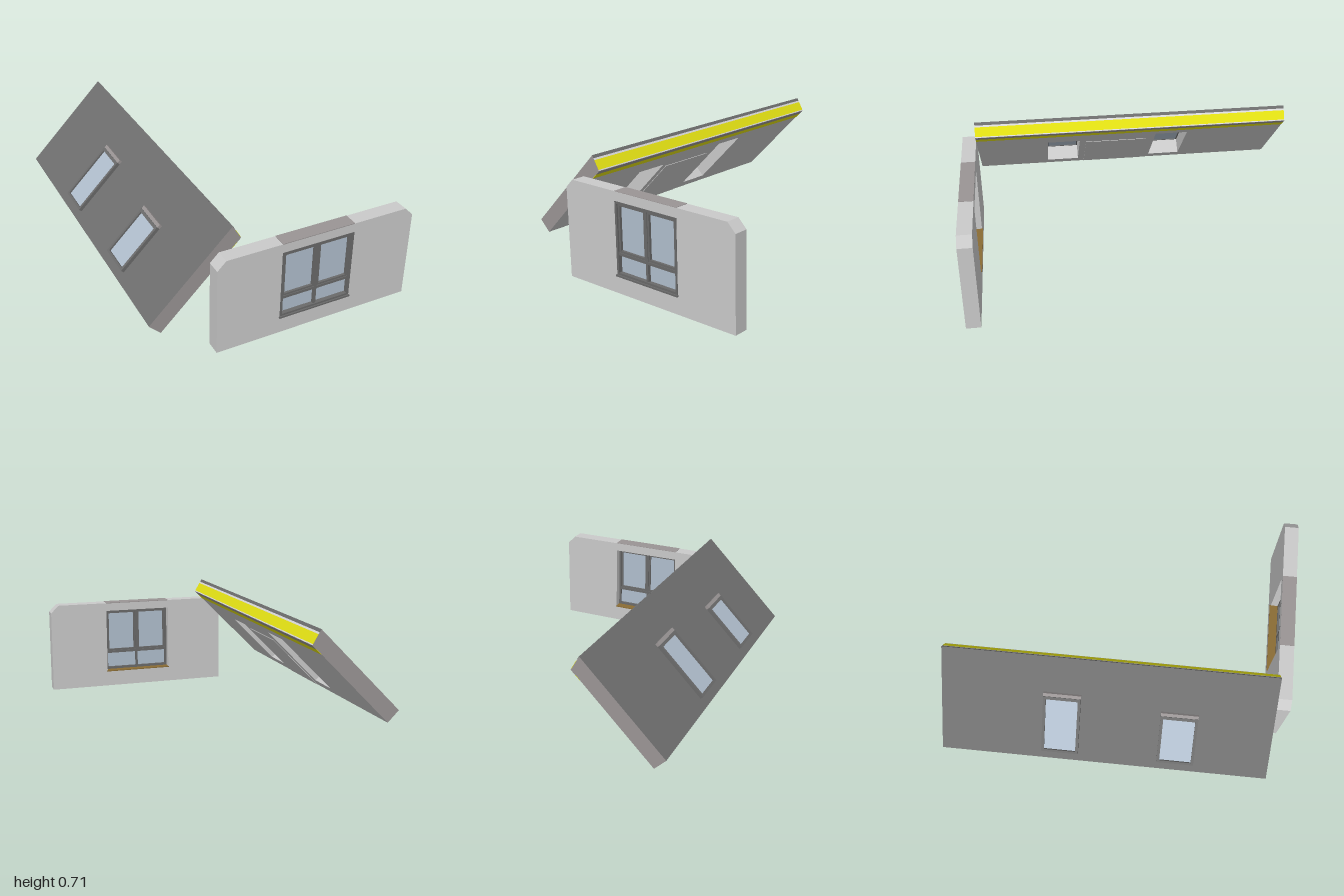
import * as THREE from 'three';

const mat = (name, hex, extra = {}) => {
  const m = new THREE.MeshStandardMaterial({ color: hex, ...extra });
  m.name = name;
  return m;
};

export function createModel() {
  const wallGrey = mat('wall grey', 0xcacaca);
  const coreGrey = mat('core grey', 0x9a9595);
  const roofGrey = mat('roof grey', 0x6f6f6f);
  const frameGrey = mat('frame grey', 0x6a6a6a);
  const glass = mat('glass blue', 0xb0becd);
  const yellow = mat('membrane yellow', 0xe6e414);
  const white = mat('seal white', 0xdedede);
  const brown = mat('sill brown', 0x8a6c34);

  const model = new THREE.Group();

  // box given by its limits on each axis
  const box = (parent, name, m, x0, x1, y0, y1, z0, z1) => {
    const mesh = new THREE.Mesh(new THREE.BoxGeometry(x1 - x0, y1 - y0, z1 - z0), m);
    mesh.position.set((x0 + x1) / 2, (y0 + y1) / 2, (z0 + z1) / 2);
    mesh.name = name;
    parent.add(mesh);
    return mesh;
  };

  // rectangular ring of four bars in the xy plane
  const ring = (parent, name, m, x0, x1, y0, y1, z0, z1, w) => {
    box(parent, name, m, x0, x0 + w, y0, y1, z0, z1);
    box(parent, name, m, x1 - w, x1, y0, y1, z0, z1);
    box(parent, name, m, x0 + w, x1 - w, y0, y0 + w, z0, z1);
    box(parent, name, m, x0 + w, x1 - w, y1 - w, y1, z0, z1);
  };

  // convex prism along z, one material per side and per cap (front, back)
  const prism = (parent, name, poly, z0, z1, sideMats, capMats) => {
    const pos = [], geo = new THREE.BufferGeometry(), mats = [...sideMats, ...capMats];
    const face = (pts, index) => {
      const start = pos.length / 3;
      for (let i = 1; i < pts.length - 1; i++) pos.push(...pts[0], ...pts[i], ...pts[i + 1]);
      geo.addGroup(start, pos.length / 3 - start, index);
    };
    poly.forEach((a, i) => {
      const b = poly[(i + 1) % poly.length];
      face([[...a, z1], [...a, z0], [...b, z0], [...b, z1]], i);
    });
    face(poly.map(p => [...p, z1]), poly.length);
    face([...poly].reverse().map(p => [...p, z0]), poly.length + 1);
    geo.setAttribute('position', new THREE.Float32BufferAttribute(pos, 3));
    geo.computeVertexNormals();
    const mesh = new THREE.Mesh(geo, mats);
    mesh.name = name;
    parent.add(mesh);
  };

  // gable wall with chamfered corners and a window opening
  const wall = new THREE.Group();
  wall.name = 'gableWall';
  model.add(wall);
  const pts = list => list.map(p => new THREE.Vector2(...p));
  const outline = new THREE.Shape(pts([[-0.424, 0], [0.76, 0], [0.76, 0.525], [0.71, 0.575], [-0.374, 0.575], [-0.424, 0.525]]));
  outline.holes.push(new THREE.Path(pts([[-0.05, 0.1], [-0.05, 0.522], [0.385, 0.522], [0.385, 0.1]])));
  const panel = new THREE.Mesh(new THREE.ExtrudeGeometry(outline, { depth: 0.083, bevelEnabled: false }), wallGrey);
  panel.position.z = 0.907;
  panel.name = 'wallPanel';
  wall.add(panel);
  box(wall, 'lintelTop', coreGrey, -0.05, 0.385, 0.573, 0.577, 0.907, 0.99);

  // window: outer frame, mullion, transom, sashes, panes and sills
  const win = new THREE.Group();
  win.name = 'window';
  wall.add(win);
  ring(win, 'outerFrame', frameGrey, -0.05, 0.385, 0.108, 0.522, 0.95, 0.992, 0.014);
  box(win, 'mullion', frameGrey, 0.16, 0.175, 0.12, 0.51, 0.95, 0.986);
  box(win, 'transom', frameGrey, -0.038, 0.373, 0.219, 0.235, 0.95, 0.986);
  for (const [x0, x1] of [[-0.036, 0.16], [0.175, 0.371]]) {
    ring(win, 'sash', frameGrey, x0, x1, 0.235, 0.508, 0.955, 0.982, 0.012);
  }
  box(win, 'panes', glass, -0.04, 0.375, 0.115, 0.515, 0.962, 0.968);
  box(win, 'outerSill', frameGrey, -0.054, 0.389, 0.1, 0.11, 0.95, 1.0);
  box(win, 'innerSill', brown, -0.054, 0.389, 0.1, 0.106, 0.9, 0.952);

  // roof slab, built flat and then tilted: x runs up the slope, y is its normal
  const roof = new THREE.Group();
  roof.name = 'roofSlab';
  roof.position.set(-0.765, 0.24, 0);
  roof.rotation.z = Math.PI / 4;
  model.add(roof);
  const low = -0.09, topEnd = 0.661, bottomEnd = 0.638, zBack = -1, zFront = 0.907;

  // skylight openings: z limits and upper edge of the hole at the outer face
  const skylights = [[-0.405, -0.205, 0.425], [0.27, 0.47, 0.368]];
  const start = 0.062, splay = 0.085;

  // full-length strips beside the openings
  const edges = [zBack, ...skylights.flatMap(s => [s[0], s[1]]), zFront];
  for (let i = 0; i < edges.length; i += 2) {
    prism(roof, 'roofStrip', [[0, low], [bottomEnd, low], [topEnd, 0], [0, 0]], edges[i], edges[i + 1],
      [wallGrey, coreGrey, roofGrey, roofGrey],
      [i === 4 ? coreGrey : wallGrey, i === 0 ? coreGrey : wallGrey]);
  }

  for (const [z0, z1, end] of skylights) {
    // slab below and above the opening; the upper reveal is splayed
    prism(roof, 'lowerInfill', [[0, low], [start, low], [start, 0], [0, 0]], z0, z1,
      [wallGrey, wallGrey, roofGrey, roofGrey], [coreGrey, coreGrey]);
    prism(roof, 'upperInfill', [[end + splay, low], [bottomEnd, low], [topEnd, 0], [end, 0]], z0, z1,
      [wallGrey, coreGrey, roofGrey, wallGrey], [coreGrey, coreGrey]);
    // raised skylight frame and glass
    const sky = new THREE.Group();
    sky.name = 'skylight';
    roof.add(sky);
    const a = start - 0.008, b = end + 0.013, za = z0 - 0.009, zb = z1 + 0.006;
    box(sky, 'lowerRail', frameGrey, a, a + 0.014, 0, 0.02, za, zb);
    box(sky, 'sideRail', frameGrey, a + 0.014, b - 0.02, 0, 0.02, za, za + 0.016);
    box(sky, 'sideRail', frameGrey, a + 0.014, b - 0.02, 0, 0.02, zb - 0.016, zb);
    box(sky, 'upperRail', frameGrey, b - 0.038, b - 0.02, 0, 0.021, za, zb);
    box(sky, 'upperHood', coreGrey, b - 0.02, b, 0, 0.018, za, zb);
    box(sky, 'skylightGlass', glass, a + 0.01, b - 0.03, 0.004, 0.01, za + 0.01, zb - 0.01);
  }

  // thin ceiling panel between the skylights
  box(roof, 'ceilingPanel', wallGrey, 0.004, 0.427, low - 0.003, low, -0.15, 0.23);

  // layered stripes on the sloping ridge edge
  const ridge = new THREE.Group();
  ridge.name = 'ridgeStripes';
  ridge.position.set(bottomEnd, low, 0);
  ridge.rotation.z = Math.atan2(topEnd - bottomEnd, low);
  ridge.rotation.z = -Math.atan2(topEnd - bottomEnd, -low);
  roof.add(ridge);
  const len = Math.hypot(topEnd - bottomEnd, low);
  [[0, 0.06, white], [0.06, 0.68, yellow], [0.68, 0.8, white], [0.8, 1, roofGrey]].forEach(([s, e, m]) =>
    box(ridge, 'ridgeStripe', m, -0.002, 0.002, s * len, e * len, zBack, zFront));

  // stripes on the underside along the ridge
  box(roof, 'undersideMembrane', yellow, 0.566, 0.606, low - 0.002, low + 0.001, zBack, zFront);
  box(roof, 'undersideSeal', coreGrey, 0.606, bottomEnd, low - 0.002, low + 0.001, zBack, zFront);

  return model;
}
